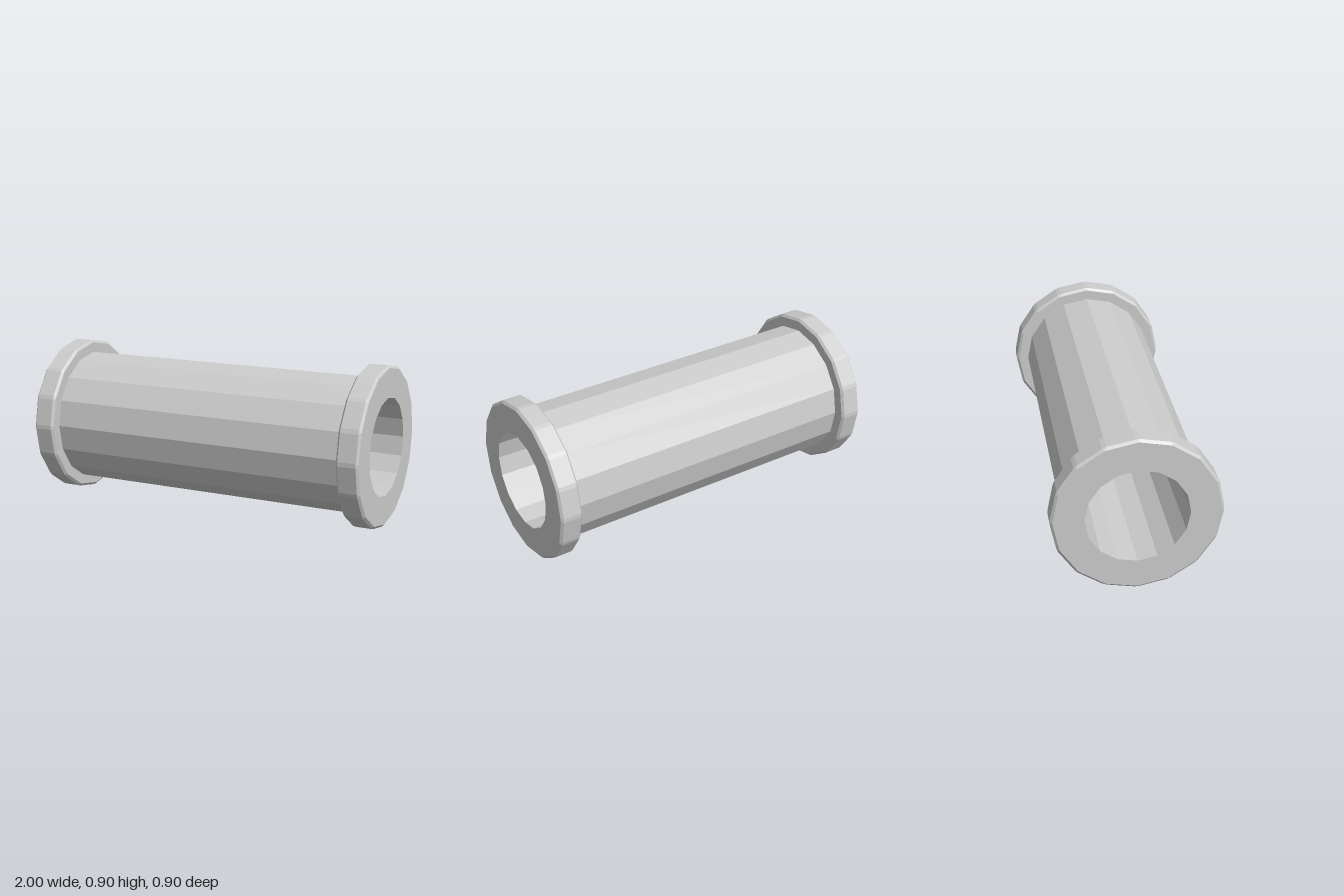
import * as THREE from 'three';

const SIDES = 16;
const material = new THREE.MeshStandardMaterial({ color: 0xcccccc, flatShading: true });

// Ring of 32 points: each of the 16 corners is split in two, cut back along its sides by t.
function ring([x, r, t = 0]) {
  const corner = (k) => {
    const a = (k * 2 * Math.PI) / SIDES;
    return new THREE.Vector3(x, r * Math.cos(a), r * Math.sin(a));
  };
  const points = [];
  for (let k = 0; k < SIDES; k++) {
    points.push(corner(k).lerp(corner(k - 1), t), corner(k).lerp(corner(k + 1), t));
  }
  return points;
}

// Skin a list of [x, radius, cornerCut] rings with flat faces.
function loft(name, profile) {
  const rings = profile.map(ring);
  const positions = [];
  const addTriangle = (a, b, c) => {
    if (new THREE.Triangle(a, b, c).getArea() < 1e-8) return;
    for (const p of [a, b, c]) positions.push(p.x, p.y, p.z);
  };
  for (let i = 0; i < rings.length - 1; i++) {
    for (let j = 0; j < SIDES * 2; j++) {
      const n = (j + 1) % (SIDES * 2);
      const [a, b, c, d] = [rings[i][j], rings[i][n], rings[i + 1][n], rings[i + 1][j]];
      addTriangle(a, b, c);
      addTriangle(a, c, d);
    }
  }
  const geometry = new THREE.BufferGeometry();
  geometry.setAttribute('position', new THREE.Float32BufferAttribute(positions, 3));
  geometry.computeVertexNormals();
  const mesh = new THREE.Mesh(geometry, material);
  mesh.name = name;
  return mesh;
}

export function createModel() {
  const group = new THREE.Group();
  group.name = 'spool';

  const barrelR = 0.38, boreR = 0.275, rimR = 0.452, capR = 0.438;
  const inner = 0.875, bevel = 0.012, cut = 0.07;

  // Barrel and the open bore through the whole length
  group.add(loft('barrel', [[-inner, barrelR], [inner, barrelR]]));
  group.add(loft('bore', [[1, boreR], [-1, boreR]]));

  // Bevelled end flanges, mirrored by a half turn
  for (const [name, turn] of [['leftFlange', 0], ['rightFlange', Math.PI]]) {
    const flange = loft(name, [
      [inner, barrelR],
      [inner, capR],
      [inner + bevel, rimR, cut],
      [1 - bevel, rimR, cut],
      [1, capR],
      [1, boreR],
    ]);
    flange.rotation.y = turn;
    group.add(flange);
  }

  // Rest the rims on the ground
  for (const part of group.children) part.position.y = 0.45;
  return group;
}
